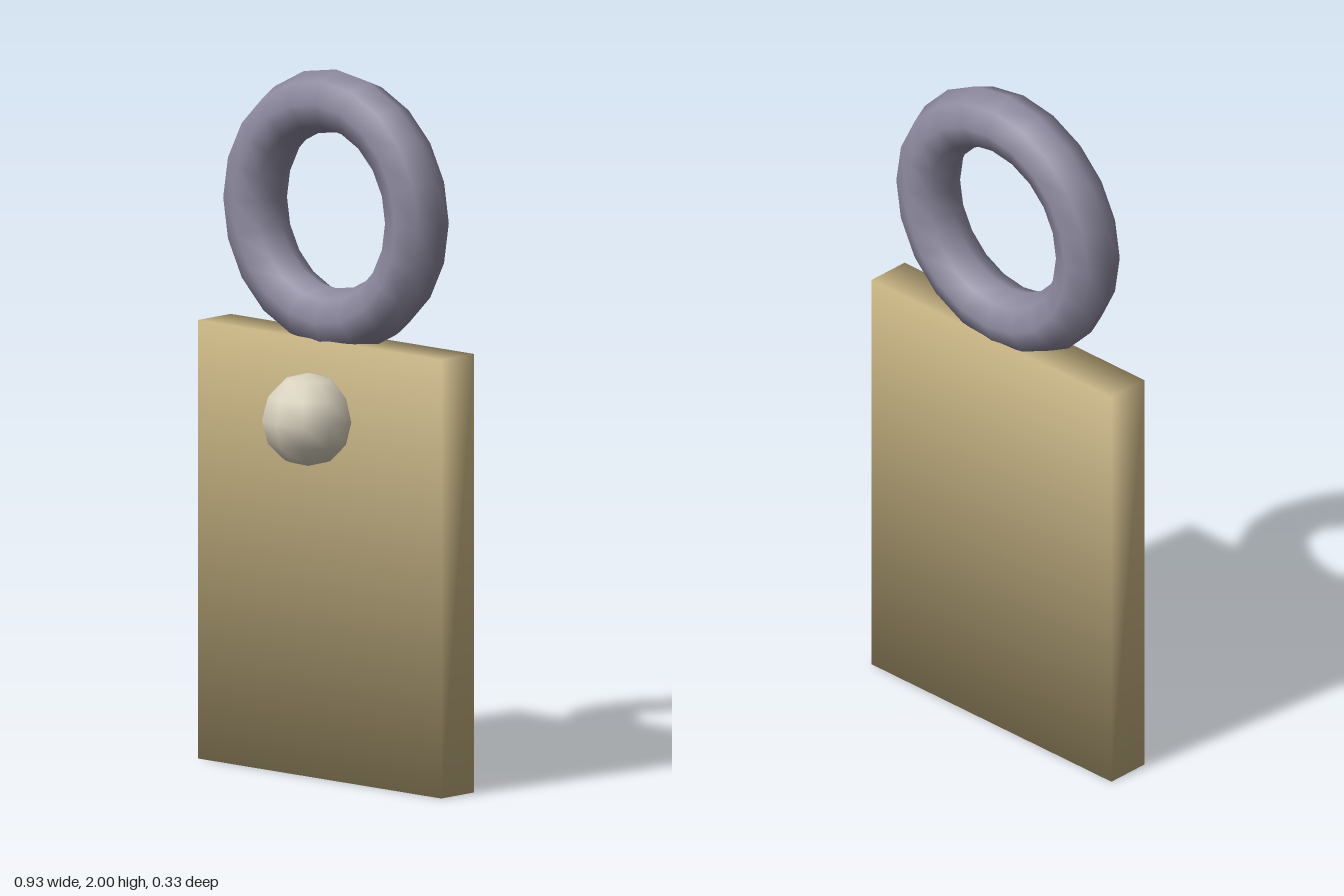
import * as THREE from 'three';

const paint = (name, color) => {
  const material = new THREE.MeshStandardMaterial({ color });
  material.name = name;
  return material;
};

// Box whose corners share one diagonal normal, for soft shading over sharp edges
function softBox(w, h, d) {
  const geometry = new THREE.BoxGeometry(w, h, d);
  const { position, normal } = geometry.attributes;
  const n = new THREE.Vector3();
  for (let i = 0; i < position.count; i++) {
    n.fromBufferAttribute(position, i);
    n.set(Math.sign(n.x), Math.sign(n.y), Math.sign(n.z)).normalize();
    normal.setXYZ(i, n.x, n.y, n.z);
  }
  return geometry;
}

export function createModel() {
  const group = new THREE.Group();
  const add = (name, geometry, material, x, y, z) => {
    const mesh = new THREE.Mesh(geometry, material);
    mesh.name = name;
    mesh.position.set(x, y, z);
    group.add(mesh);
  };
  const centreZ = -0.079;

  // Flat tag body standing on the ground
  add('plate', softBox(0.932, 1.243, 0.133), paint('brass', 0xcab684), 0, 0.6215, centreZ);

  // Hanging ring, sunk slightly into the top edge
  add('ring', new THREE.TorusGeometry(0.31, 0.089, 8, 20), paint('greyMetal', 0x8d8a9f), 0, 1.602, centreZ);

  // Round stud on the front, with a column of vertices facing forward
  add('stud', new THREE.SphereGeometry(0.132, 10, 6, Math.PI / 2), paint('ivory', 0xd8d1be), 0, 1.024, 0.034);

  return group;
}
